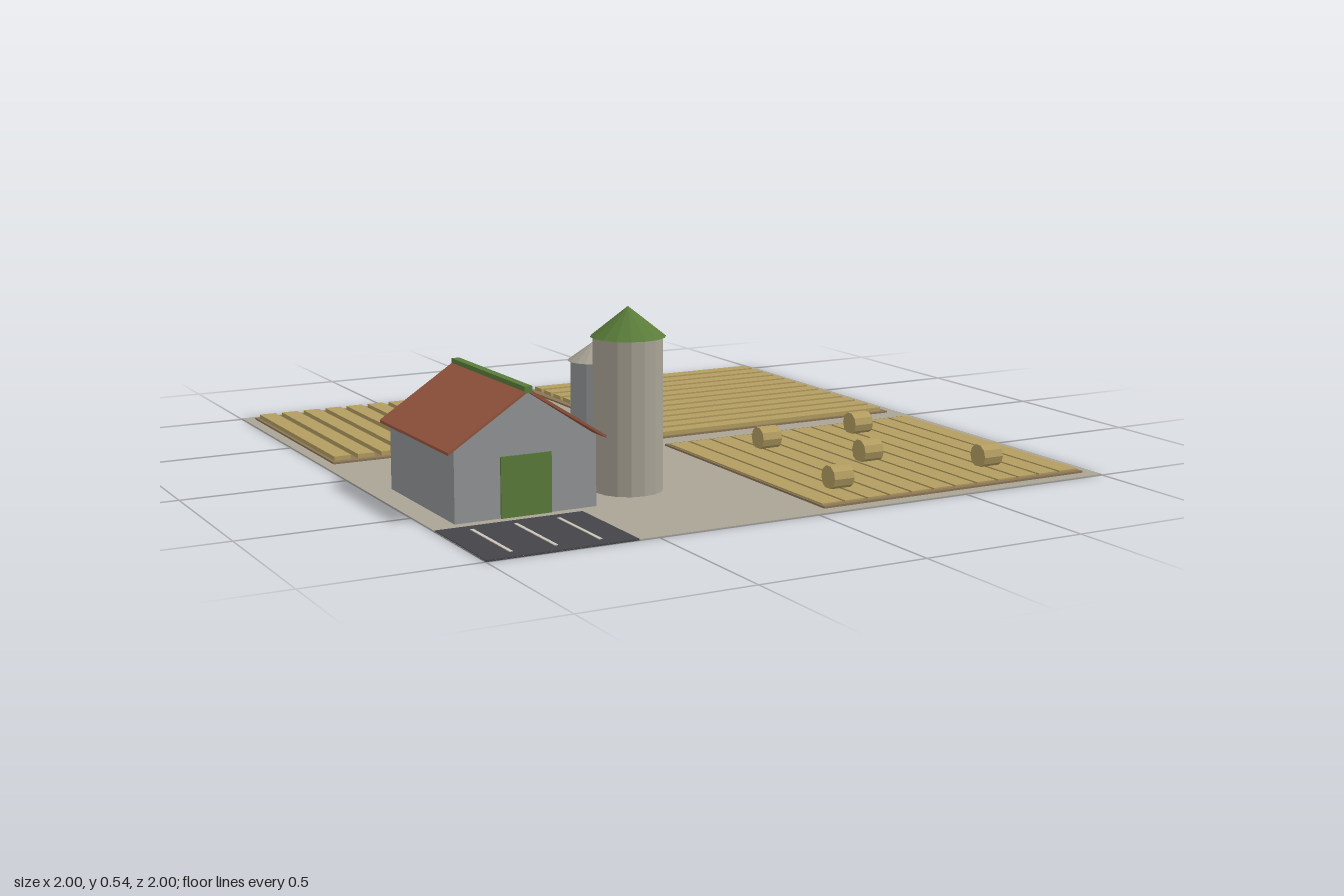
import * as THREE from 'three';

const mat = (name, color, extra = {}) => {
  const m = new THREE.MeshStandardMaterial({ color, ...extra });
  m.name = name;
  return m;
};

export function createModel() {
  const farm = new THREE.Group();
  farm.name = 'farm';

  const concrete = mat('concrete', 0xaaa496);
  const soil = mat('soil', 0x8c7656);
  const straw = mat('straw', 0xb39d60);
  const brick = mat('roofRed', 0x96563f);
  const green = mat('green', 0x5a7c3a);
  const steel = mat('steelGrey', 0x929496);
  const asphalt = mat('asphalt', 0x454449);
  const paint = mat('linePaint', 0xc9c5b8);
  // flat facets for the low-poly round parts
  for (const m of [concrete, straw, green, steel]) m.flatShading = true;

  const add = (name, geometry, material, parent = farm) => {
    const mesh = new THREE.Mesh(geometry, material);
    mesh.name = name;
    parent.add(mesh);
    return mesh;
  };
  // box given by its minimum and maximum corners
  const block = (name, x0, x1, y0, y1, z0, z1, material, parent) => {
    const mesh = add(name, new THREE.BoxGeometry(x1 - x0, y1 - y0, z1 - z0), material, parent);
    mesh.position.set((x0 + x1) / 2, (y0 + y1) / 2, (z0 + z1) / 2);
    return mesh;
  };
  const group = (name) => {
    const g = new THREE.Group();
    g.name = name;
    farm.add(g);
    return g;
  };

  // ground slab
  block('ground', -1, 1, 0.0005, 0.003, -1, 1, concrete);

  // fields: a soil bed with twelve raised rows
  const field = (name, [x0, x1, z0, z1], first, last, width, inset, top, alongX) => {
    const g = group(name);
    block('soilBed', x0, x1, 0.001, 0.009, z0, z1, soil, g);
    for (let i = 0; i < 12; i++) {
      const c = first + (last - first) * i / 11;
      const a = c - width / 2, b = c + width / 2;
      if (alongX) block('cropRow', x0 + inset, x1 - inset, 0.006, top, a, b, straw, g);
      else block('cropRow', a, b, 0.006, top, z0 + inset, z1 - inset, straw, g);
    }
  };
  field('backRightField', [-0.965, -0.05, -0.965, -0.205], -0.928, -0.088, 0.054, 0.021, 0.022, false);
  field('backLeftField', [0.045, 0.96, -0.965, -0.053], -0.93, -0.09, 0.054, 0.021, 0.022, true);
  field('baleField', [0.045, 0.96, 0.043, 0.958], 0.083, 0.922, 0.066, 0.019, 0.013, false);

  // round bales lying along x
  const baleShape = new THREE.CylinderGeometry(0.036, 0.036, 0.067, 10).rotateZ(Math.PI / 2);
  const bales = group('bales');
  for (const [x, z] of [[0.295, 0.248], [0.671, 0.198], [0.47, 0.548], [0.197, 0.795], [0.746, 0.773]]) {
    add('bale', baleShape, straw, bales).position.set(x, 0.044, z);
  }

  // barn: gabled body, chevron roof, ridge cap and door
  const barn = group('barn');
  barn.position.set(-0.712, 0, 0.4);
  const prism = (name, points, depth, material) => {
    const shape = new THREE.Shape(points.map(([x, y]) => new THREE.Vector2(x, y)));
    const geometry = new THREE.ExtrudeGeometry(shape, { depth, bevelEnabled: false });
    return add(name, geometry.translate(0, 0, -depth / 2), material, barn);
  };
  prism('barnWalls', [[-0.214, 0.002], [0.214, 0.002], [0.214, 0.207], [0, 0.35], [-0.214, 0.207]], 0.46, steel);
  prism('barnRoof', [[-0.238, 0.198], [0, 0.35], [0.238, 0.198], [0.238, 0.206], [0, 0.36], [-0.238, 0.206]], 0.496, brick);
  block('ridgeCap', -0.012, 0.012, 0.347, 0.366, -0.249, 0.249, green, barn);
  block('barnDoor', -0.078, 0.075, 0.003, 0.175, 0.228, 0.235, green, barn);

  // silos: faceted cylinder with a conical cap
  const silo = (name, x, z, r, height, capR, capHeight, bodyMat, capMat) => {
    const g = group(name);
    g.position.set(x, 0, z);
    const body = add('siloBody', new THREE.CylinderGeometry(r, r, height, 16), bodyMat, g);
    body.position.y = height / 2 + 0.001;
    const cap = add('siloCap', new THREE.ConeGeometry(capR, capHeight, 16), capMat, g);
    cap.position.y = height + capHeight / 2;
  };
  silo('largeSilo', -0.326, 0.495, 0.101, 0.45, 0.109, 0.087, concrete, green);
  silo('smallSilo', -0.313, 0.253, 0.069, 0.342, 0.078, 0.056, steel, concrete);

  // parking pad with three bay lines
  const parking = group('parking');
  block('parkingPad', -1, -0.56, 0, 0.005, 0.668, 1, asphalt, parking);
  for (const x of [-0.91, -0.781, -0.652]) {
    block('bayLine', x - 0.005, x + 0.005, 0.004, 0.007, 0.707, 0.957, paint, parking);
  }

  return farm;
}
